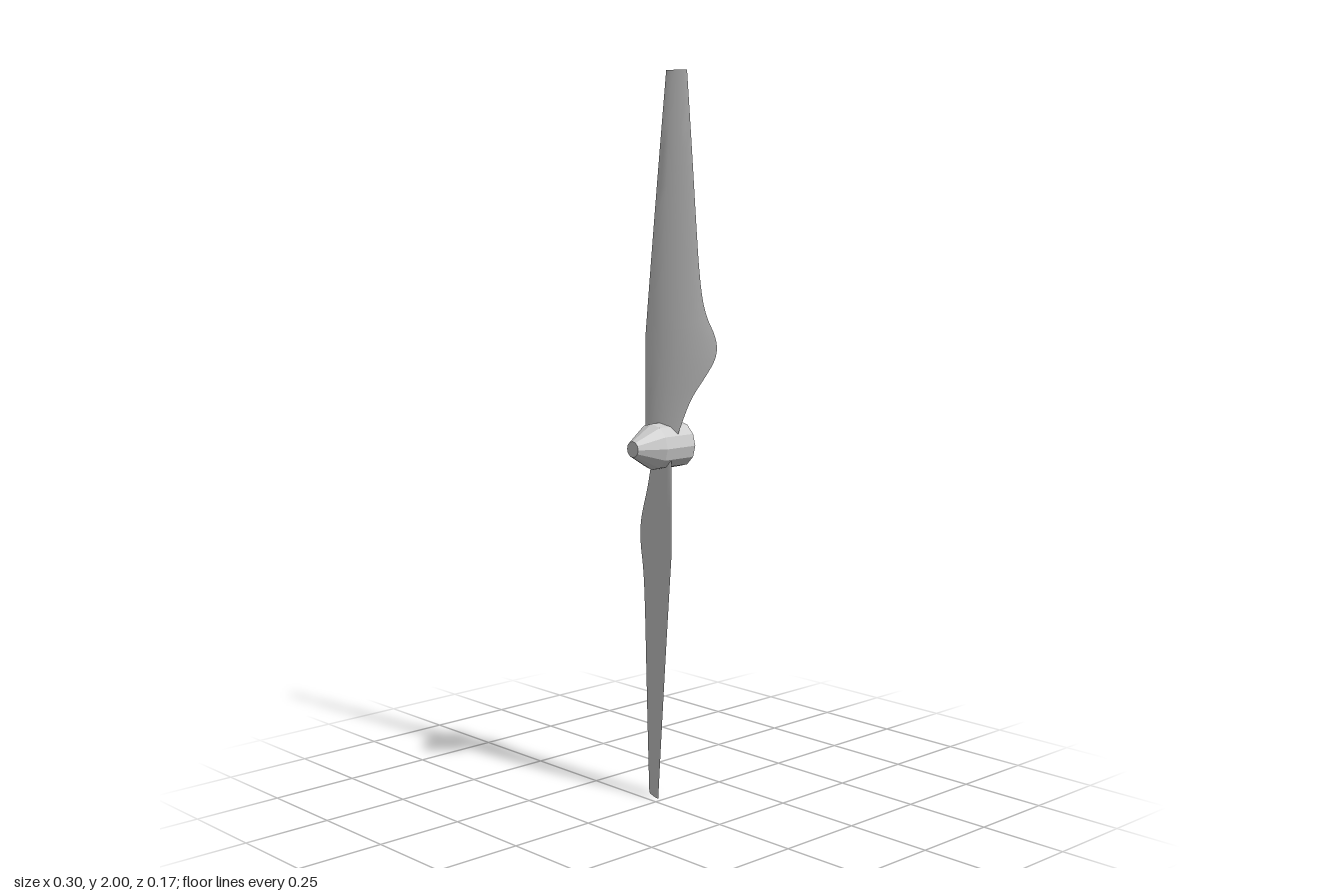
import * as THREE from 'three';
import { toCreasedNormals } from 'three/addons/utils/BufferGeometryUtils.js';

const grey = { color: 0xcccccc };

// Camber line shared by all blade sections: depth as a function of x
const camber = (x) => -0.01 - 0.125 * (x + 0.053) - 1.13 * (x + 0.053) ** 2;

// Trailing edge outline: [distance from the hub axis, x]
const trailing = [
  [0, 0.04], [0.05, 0.056], [0.13, 0.086], [0.2, 0.126], [0.24, 0.145], [0.275, 0.15],
  [0.31, 0.143], [0.35, 0.127], [0.4, 0.115], [0.48, 0.106], [0.6, 0.098], [0.8, 0.086], [1, 0.073],
];

function bladeGeometry() {
  const half = 8, ring = half * 2, rows = 48;
  const edge = new THREE.SplineCurve(trailing.map(([r, x]) => new THREE.Vector2(r, x)));
  const pos = [], index = [];
  for (let i = 0; i <= rows; i++) {
    const { x: r, y: trail } = edge.getPoint(i / rows);
    const lead = r < 0.29 ? -0.052 : THREE.MathUtils.mapLinear(r, 0.29, 1, -0.052, 0.015);
    const thick = THREE.MathUtils.lerp(0.0075, 0.004, r);
    // Front skin from leading to trailing edge, then back skin returning
    for (let j = 0; j < ring; j++) {
      const k = j <= half ? j : ring - j;
      const u = (1 - Math.cos((Math.PI * k) / half)) / 2;
      const x = lead + (trail - lead) * u;
      const t = thick * 1.9 * Math.sqrt(u) * (1 - u) ** 0.8 * (j <= half ? 1 : -0.8);
      pos.push(x, r, camber(x) + t);
    }
  }
  for (let i = 0; i < rows; i++) {
    for (let j = 0; j < ring; j++) {
      const a = i * ring + j, b = i * ring + (j + 1) % ring;
      index.push(a, b, b + ring, a, b + ring, a + ring);
    }
  }
  // Flat tip cap and root cap
  for (const base of [rows * ring, 0]) {
    for (let j = 0; j < half; j++) {
      const f0 = base + j, f1 = f0 + 1;
      const b0 = base + (ring - j) % ring, b1 = base + ring - j - 1;
      const quad = [f0, f1, b1, f0, b1, b0];
      index.push(...(base ? quad : quad.reverse()));
    }
  }
  const g = new THREE.BufferGeometry();
  g.setAttribute('position', new THREE.Float32BufferAttribute(pos, 3));
  g.setIndex(index);
  return toCreasedNormals(g, 0.7);
}

export function createModel() {
  const model = new THREE.Group();
  model.name = 'propeller';

  // Hub with tapered nose, axis along z
  const profile = [[0, -0.088], [0.063, -0.088], [0.063, 0.015], [0.022, 0.085], [0, 0.085]];
  const hubGeo = new THREE.LatheGeometry(profile.map(([r, z]) => new THREE.Vector2(r, z)), 12);
  hubGeo.rotateX(Math.PI / 2);
  const hub = new THREE.Mesh(hubGeo, new THREE.MeshStandardMaterial({ ...grey, flatShading: true }));
  hub.name = 'hub';
  hub.position.y = 1;
  model.add(hub);

  // Two blades, half a turn apart
  const geo = bladeGeometry();
  const mat = new THREE.MeshStandardMaterial(grey);
  ['upperBlade', 'lowerBlade'].forEach((name, i) => {
    const blade = new THREE.Mesh(geo, mat);
    blade.name = name;
    blade.position.y = 1;
    blade.rotation.z = i * Math.PI;
    model.add(blade);
  });
  return model;
}
